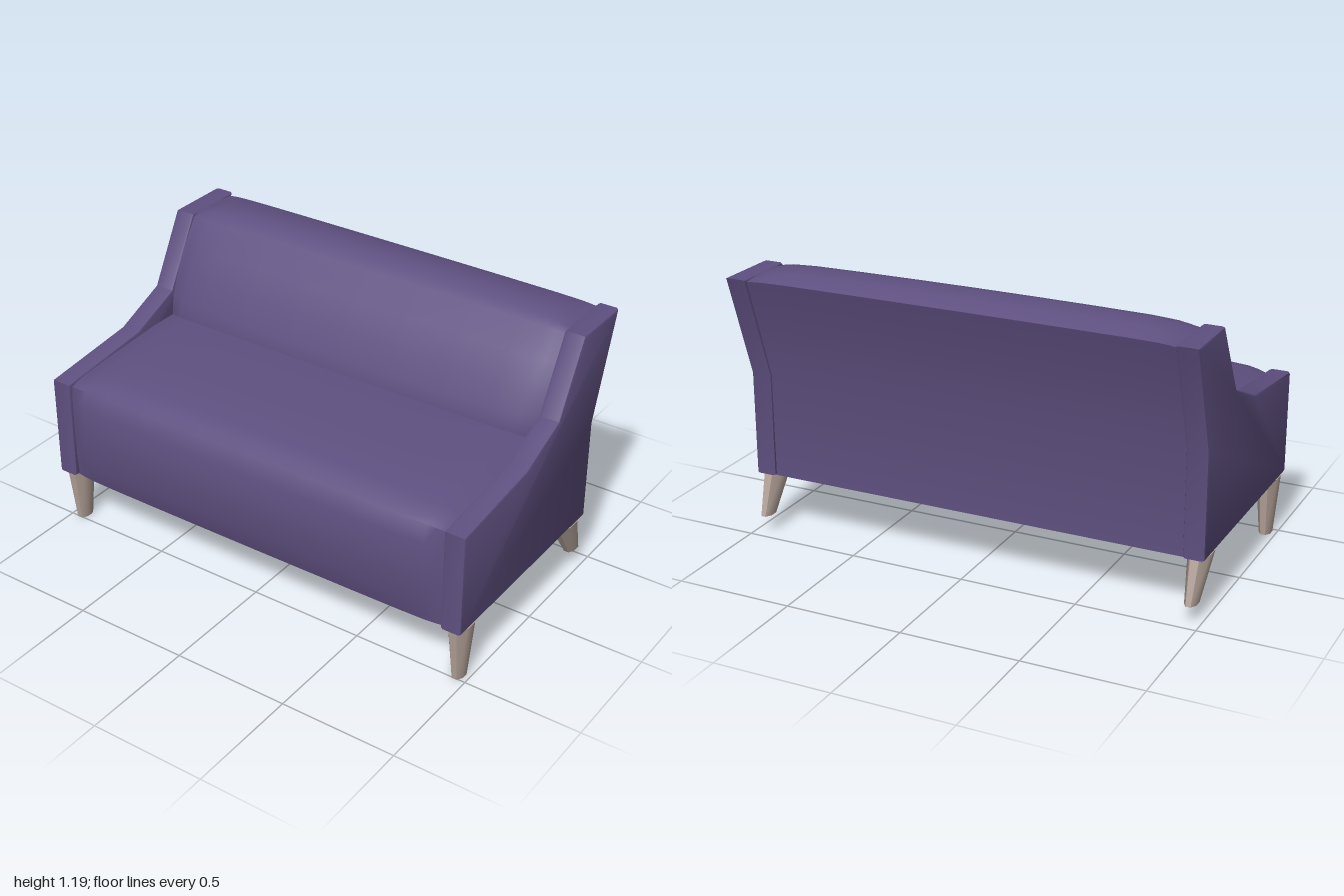
import * as THREE from 'three';
import { toCreasedNormals } from 'three/addons/utils/BufferGeometryUtils.js';

const fabric = new THREE.MeshStandardMaterial({ color: 0x5f5080 });
fabric.name = 'purple fabric';
const wood = new THREE.MeshStandardMaterial({ color: 0xb3a298 });
wood.name = 'pale wood';

function part(name, geometry, material) {
  const mesh = new THREE.Mesh(geometry, material);
  mesh.name = name;
  return mesh;
}

// Stations along x with the amount of cushion bulge at each
const half = [[0.915, 0], [0.9, 0.08], [0.87, 0.4], [0.83, 0.62], [0.72, 0.82], [0.5, 0.92], [0.25, 0.98]];
const stations = [
  ...half.map(([x, s]) => [-x, s]), [0, 1],
  ...half.map(([x, s]) => [x, s]).reverse(),
];

// Sweeps a closed [z, y] outline across the width, blending from the edge outline to the middle one
function cushion(edge, middle) {
  const n = edge.length, pos = [], index = [];
  for (const [x, s] of stations)
    edge.forEach(([z, y], j) => pos.push(x, y + (middle[j][1] - y) * s, z + (middle[j][0] - z) * s));
  for (let i = 0; i < stations.length - 1; i++)
    for (let j = 0; j < n; j++) {
      const k = (j + 1) % n, a = i * n + j, b = a + n, c = (i + 1) * n + k, d = i * n + k;
      index.push(a, b, c, a, c, d);
    }
  const geometry = new THREE.BufferGeometry();
  geometry.setAttribute('position', new THREE.Float32BufferAttribute(pos, 3));
  geometry.setIndex(index);
  return toCreasedNormals(geometry, 0.8);
}

// Side panel: bevelled silhouette, extruded and turned to face sideways
function sidePanel() {
  const outline = [[0.55, 0.255], [0.55, 0.7], [0.1, 0.75], [-0.135, 0.85],
    [-0.3, 1.15], [-0.58, 1.15], [-0.43, 0.7], [-0.43, 0.255]];
  const shape = new THREE.Shape(outline.map(([z, y]) => new THREE.Vector2(z, y)));
  const bevel = 0.012;
  const geometry = new THREE.ExtrudeGeometry(shape, {
    depth: 0.092 - 2 * bevel, bevelEnabled: true, bevelSize: bevel,
    bevelThickness: bevel, bevelOffset: -bevel, bevelSegments: 2,
  });
  geometry.rotateY(-Math.PI / 2);
  geometry.translate(0.046 - bevel, 0, 0);
  return toCreasedNormals(geometry, 0.6);
}

// Tapered leg: an eight-sided cylinder fitted between a top and a bottom footprint
function leg(side, yBottom, top, bottom) {
  const geometry = new THREE.CylinderGeometry(1, 1, 1, 8, 1);
  geometry.rotateY(Math.PI / 8);
  const p = geometry.attributes.position, fit = 1 / Math.cos(Math.PI / 8);
  for (let i = 0; i < p.count; i++) {
    const t = p.getY(i) + 0.5;
    const zMid = THREE.MathUtils.lerp(bottom[0] + bottom[1], top[0] + top[1], t) / 2;
    const zRad = THREE.MathUtils.lerp(bottom[1] - bottom[0], top[1] - top[0], t) / 2;
    const xRad = THREE.MathUtils.lerp(0.025, 0.045, t);
    p.setXYZ(i, side * 0.954 + p.getX(i) * fit * xRad,
      THREE.MathUtils.lerp(yBottom, 0.256, t), zMid + p.getZ(i) * fit * zRad);
  }
  return toCreasedNormals(geometry, 0.9);
}

export function createModel() {
  const sofa = new THREE.Group();
  sofa.name = 'sofa';

  // Seat with a bulging front and a crowned top
  sofa.add(part('seat', cushion(
    [[0.53, 0.255], [0.535, 0.35], [0.537, 0.5], [0.535, 0.62], [0.53, 0.685], [0.5, 0.695],
      [0.43, 0.705], [0.25, 0.72], [0, 0.735], [-0.2, 0.735], [-0.2, 0.255]],
    [[0.545, 0.255], [0.575, 0.35], [0.585, 0.5], [0.575, 0.62], [0.55, 0.7], [0.52, 0.725],
      [0.45, 0.745], [0.25, 0.765], [0, 0.775], [-0.2, 0.775], [-0.2, 0.255]],
  ), fabric));

  // Backrest with a rounded head and a leaning rear
  sofa.add(part('backrest', cushion(
    [[-0.13, 0.65], [-0.135, 0.775], [-0.145, 0.83], [-0.195, 0.95], [-0.24, 1.03], [-0.305, 1.135],
      [-0.34, 1.145], [-0.4, 1.146], [-0.49, 1.145], [-0.565, 1.14], [-0.42, 0.7], [-0.42, 0.255], [-0.2, 0.255]],
    [[-0.06, 0.65], [-0.065, 0.775], [-0.085, 0.83], [-0.14, 0.95], [-0.2, 1.04], [-0.295, 1.145],
      [-0.34, 1.175], [-0.4, 1.19], [-0.49, 1.18], [-0.565, 1.15], [-0.42, 0.7], [-0.42, 0.255], [-0.2, 0.255]],
  ), fabric));

  // Side panels and legs, mirrored
  for (const [label, side] of [['left', 1], ['right', -1]]) {
    const panel = part(label + 'SidePanel', sidePanel(), fabric);
    panel.position.x = side * 0.954;
    sofa.add(panel);
    sofa.add(part(label + 'FrontLeg', leg(side, 0, [0.405, 0.533], [0.43, 0.505]), wood));
    sofa.add(part(label + 'RearLeg', leg(side, 0.075, [-0.415, -0.265], [-0.47, -0.385]), wood));
  }
  return sofa;
}
